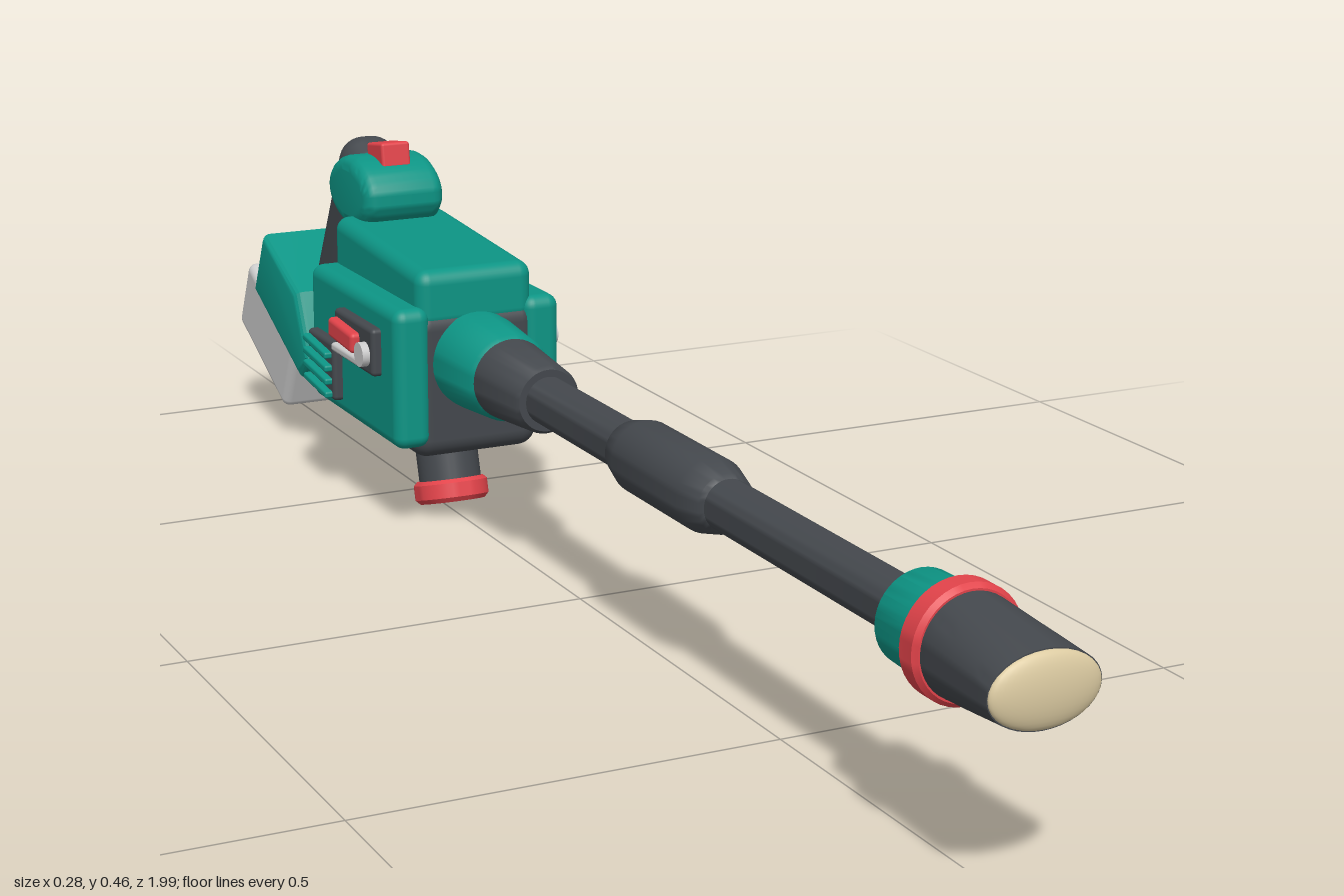
import * as THREE from 'three';
import { toCreasedNormals } from 'three/addons/utils/BufferGeometryUtils.js';
import { RoundedBoxGeometry } from 'three/addons/geometries/RoundedBoxGeometry.js';

const material = (name, color) => {
  const m = new THREE.MeshStandardMaterial({ color });
  m.name = name;
  return m;
};

export function createModel() {
  const teal = material('teal', 0x0d9585);
  const dark = material('charcoal', 0x44484d);
  const red = material('red', 0xe2434a);
  const grey = material('light grey', 0xcbcbcb);
  const sand = material('sand', 0xdccba2);

  const model = new THREE.Group();
  model.name = 'cordlessWasher';
  const AXIS = 0.229; // height of the lance axis

  const add = (name, geo, mat, x = 0, y = 0, z = 0, tilt = 0) => {
    const mesh = new THREE.Mesh(geo, mat);
    mesh.name = name;
    mesh.position.set(x, y, z);
    mesh.rotation.x = tilt;
    model.add(mesh);
    return mesh;
  };
  const box = (w, h, d, r) => new RoundedBoxGeometry(w, h, d, 4, r);
  // Turned part from [radius, height] pairs
  const turned = (pts) => toCreasedNormals(
    new THREE.LatheGeometry(pts.map(([r, h]) => new THREE.Vector2(r, h)), 40), 0.7);
  // Turned part lying along the lance, with [radius, z] pairs
  const alongZ = (pts) => turned(pts).rotateX(Math.PI / 2);
  // Side outline in (z, y) made into a bevelled body of the given width
  const sideBody = (shape, width, bevel) => {
    const geo = new THREE.ExtrudeGeometry(shape, {
      depth: width - 2 * bevel, bevelEnabled: true, bevelSize: bevel, bevelThickness: bevel,
      bevelOffset: -bevel, bevelSegments: 4, curveSegments: 24,
    });
    geo.translate(0, 0, -(width - 2 * bevel) / 2).rotateY(-Math.PI / 2);
    return toCreasedNormals(geo, 0.6);
  };

  // Lance with its thicker grip and the coupling at the rear
  add('lance', alongZ([
    [0, -0.23], [0.054, -0.23], [0.052, -0.2], [0.043, -0.095], [0.039, -0.09], [0.03, -0.09],
    [0.03, 0.135], [0.035, 0.14], [0.044, 0.175], [0.044, 0.335], [0.035, 0.37], [0.03, 0.375],
    [0.03, 0.78], [0, 0.78],
  ]), dark, 0, AXIS);
  add('rearCollar', alongZ([
    [0, -0.33], [0.063, -0.33], [0.063, -0.29], [0.056, -0.205], [0.051, -0.198], [0, -0.198],
  ]), teal, 0, AXIS);
  add('frontCollar', alongZ([
    [0, 0.762], [0.044, 0.762], [0.051, 0.77], [0.053, 0.835], [0, 0.835],
  ]), teal, 0, AXIS);
  add('nozzleRing', alongZ([
    [0, 0.83], [0.058, 0.83], [0.063, 0.835], [0.063, 0.857], [0.058, 0.862], [0, 0.862],
  ]), red, 0, AXIS);

  // Nozzle: round at the back, flattened to a wide oval at the mouth
  const nozzle = new THREE.CylinderGeometry(0.063, 0.056, 0.128, 40, 8).rotateX(Math.PI / 2);
  const np = nozzle.attributes.position;
  for (let i = 0; i < np.count; i++) {
    const t = np.getZ(i) / 0.128 + 0.5;
    np.setY(i, np.getY(i) * (1 - 0.36 * t));
  }
  nozzle.computeVertexNormals();
  add('nozzle', toCreasedNormals(nozzle, 0.7), dark, 0, AXIS, 0.923);
  const mouth = new THREE.SphereGeometry(1, 40, 16).scale(0.062, 0.039, 0.013);
  add('nozzleMouth', mouth, sand, 0, AXIS, 0.987);

  // Motor housing
  add('housing', box(0.176, 0.195, 0.315, 0.025), dark, 0, 0.2, -0.461);
  const shell = box(0.16, 0.085, 0.3, 0.018);
  const sp = shell.attributes.position;
  for (let i = 0; i < sp.count; i++) {
    if (sp.getY(i) > 0) sp.setY(i, sp.getY(i) - 0.06 * sp.getZ(i));
  }
  add('topShell', shell, teal, 0, 0.3155, -0.457);

  // Both flanks: panel, selector and vent
  for (const s of [1, -1]) {
    add('sidePanel', box(0.05, 0.184, 0.308, 0.016), teal, s * 0.09, 0.212, -0.454);
    add('selectorPlate', box(0.03, 0.063, 0.134, 0.006), dark, s * 0.113, 0.24, -0.417);
    add('selectorSlider', box(0.026, 0.027, 0.085, 0.006), red, s * 0.127, 0.246, -0.436, 0.06);
    add('selectorRail', box(0.024, 0.011, 0.1, 0.004), grey, s * 0.125, 0.222, -0.425);
    const pin = new THREE.CylinderGeometry(0.016, 0.016, 0.024, 24).rotateZ(Math.PI / 2);
    add('selectorPin', pin, grey, s * 0.126, 0.235, -0.372);
    add('ventPlate', box(0.03, 0.08, 0.095, 0.006), dark, s * 0.113, 0.181, -0.538);
    for (let i = 0; i < 4; i++) {
      add('ventRib', box(0.024, 0.009, 0.084, 0.003), teal, s * 0.126, 0.153 + i * 0.018, -0.538, 0.1);
    }
  }

  // Inlet under the housing, leaning forward
  const lean = -0.29;
  add('inletNeck', new THREE.CylinderGeometry(0.041, 0.041, 0.1, 32), dark, 0, 0.078, -0.412, lean);
  add('inletCap', turned([
    [0, -0.015], [0.043, -0.015], [0.049, -0.009], [0.049, 0.01], [0.044, 0.015], [0, 0.015],
  ]), red, 0, 0.028, -0.398, lean);

  // Rounded head above the housing
  const oval = new THREE.Shape();
  oval.absellipse(0, 0, 0.077, 0.049, 0, Math.PI * 2);
  add('handleHead', sideBody(oval, 0.114, 0.018), teal, 0, 0.394, -0.614);
  add('topButton', box(0.041, 0.034, 0.055, 0.004), red, 0, 0.444, -0.6, -0.15);

  // Sloping handle, trigger and brace
  add('handle', box(0.08, 0.27, 0.086, 0.034), dark, 0, 0.328, -0.716, 0.49);
  add('trigger', box(0.036, 0.08, 0.04, 0.008), red, 0, 0.308, -0.652, 0.49);
  const brace = new THREE.CylinderGeometry(0.012, 0.012, 0.15, 20).rotateX(Math.PI / 2);
  add('handleBrace', brace, dark, 0, 0.235, -0.67);

  // Battery foot and battery
  const foot = new THREE.Shape([
    [-0.742, 0.23], [-0.7, 0.142], [-0.735, 0.108], [-0.92, 0.196], [-0.876, 0.286],
  ].map(([z, y]) => new THREE.Vector2(z, y)));
  add('batteryFoot', sideBody(foot, 0.176, 0.012), teal);
  add('battery', box(0.168, 0.11, 0.206, 0.012), grey, 0, 0.137, -0.881, 0.45);

  return model;
}
